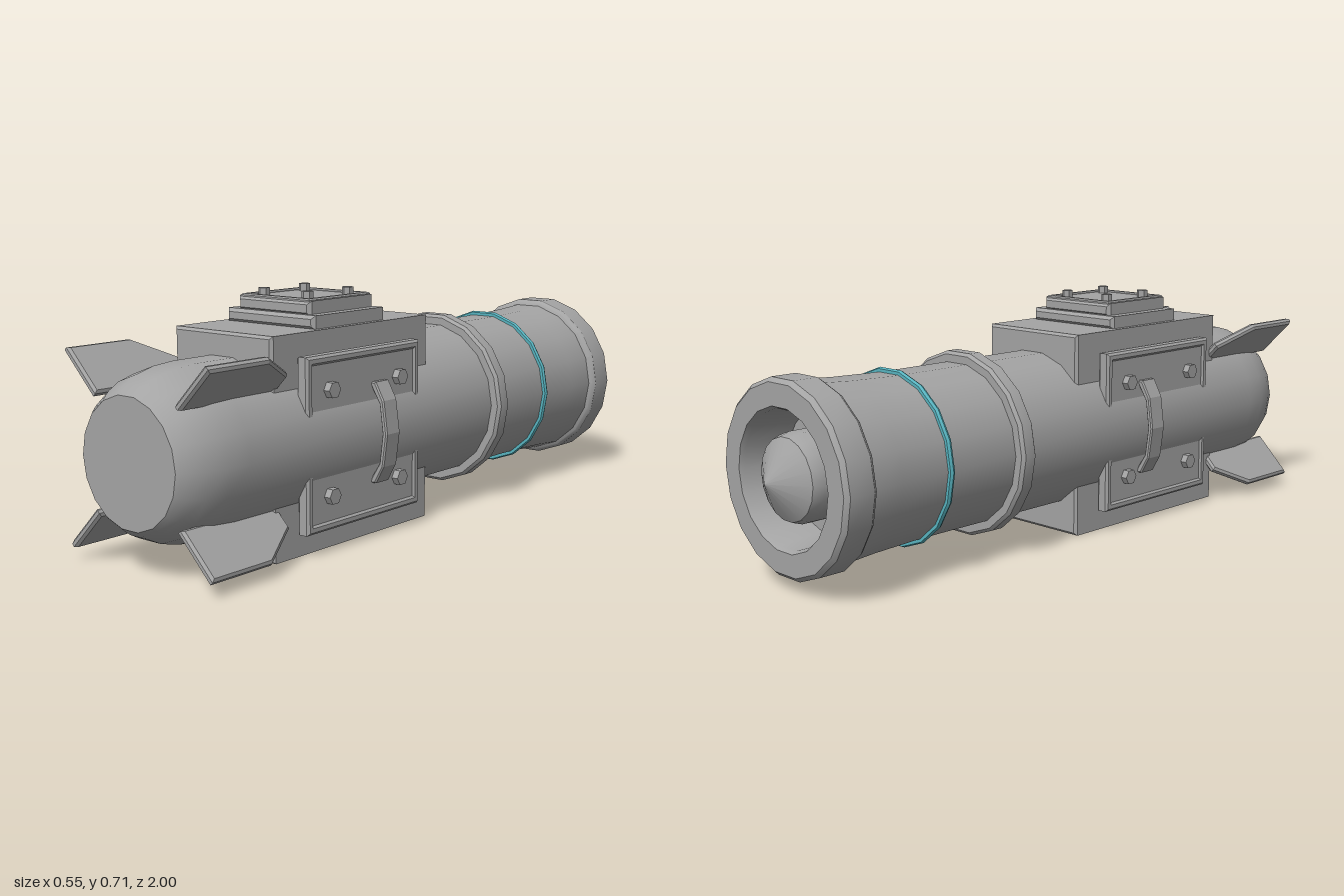
import * as THREE from 'three';
import { toCreasedNormals } from 'three/addons/utils/BufferGeometryUtils.js';

const AXIS = 0.31; // height of the tube's centre line
const gray = new THREE.MeshStandardMaterial({ color: 0xa4a4a4 });
gray.name = 'gunmetal gray';
const teal = new THREE.MeshStandardMaterial({ color: 0x58b4c0 });
teal.name = 'teal';

function add(parent, name, geometry, material = gray) {
  const mesh = new THREE.Mesh(geometry, material);
  mesh.name = name;
  parent.add(mesh);
  return mesh;
}

// Turned part along z, listed as [radius, z] from back to front
function turned(points, sides = 18) {
  const pts = points.map(([r, z]) => new THREE.Vector2(r, z));
  const g = new THREE.LatheGeometry(pts, sides, Math.PI / 2, Math.PI * 2);
  g.rotateX(Math.PI / 2);
  return toCreasedNormals(g, 0.55).translate(0, AXIS, 0);
}

// Chamfered extrusion, centred on z = 0
function slab(shape, thickness, bevel) {
  return new THREE.ExtrudeGeometry(shape, {
    depth: thickness - 2 * bevel, bevelEnabled: true, bevelSegments: 1,
    bevelSize: bevel, bevelThickness: bevel, bevelOffset: -bevel,
  }).translate(0, 0, bevel - thickness / 2);
}

const polygon = (pts) => new THREE.Shape(pts.map(([x, y]) => new THREE.Vector2(x, y)));
const rect = (w, h) => polygon([[-w / 2, -h / 2], [w / 2, -h / 2], [w / 2, h / 2], [-w / 2, h / 2]]);
const chamferBox = (w, h, d, bevel) => slab(rect(w, h), d, bevel);

// Rectangular rim with an open middle
function frame(w, h, rim, thickness, bevel) {
  const shape = rect(w, h);
  shape.holes.push(rect(w - 2 * rim, h - 2 * rim));
  return slab(shape, thickness, bevel);
}

function sideFitting(side) {
  const group = new THREE.Group();
  group.name = side > 0 ? 'leftFitting' : 'rightFitting';

  // Recessed panel with a raised rim
  add(group, 'sidePanel', new THREE.BoxGeometry(0.05, 0.45, 0.45))
    .position.set(side * 0.197, AXIS, 0.327);
  const rim = add(group, 'panelRim', frame(0.488, 0.49, 0.026, 0.04, 0.007));
  rim.position.set(side * 0.208, AXIS, 0.327);
  rim.rotation.y = side * Math.PI / 2;

  // Hex bolts in the four corners
  for (const y of [-0.148, 0.148]) for (const z of [0.18, 0.475]) {
    const g = new THREE.CylinderGeometry(0.024, 0.024, 0.03, 6).toNonIndexed();
    g.computeVertexNormals();
    const bolt = add(group, 'sideBolt', g.rotateZ(Math.PI / 2));
    bolt.position.set(side * 0.228, AXIS + y, z);
  }

  // Bowed grab handle
  const outline = polygon([
    [0.215, -0.146], [0.235, -0.146], [0.264, -0.095], [0.277, 0], [0.264, 0.095], [0.235, 0.146],
    [0.215, 0.146], [0.224, 0.125], [0.249, 0.085], [0.26, 0], [0.249, -0.085], [0.224, -0.125],
  ]);
  const handle = add(group, 'handle', slab(outline, 0.062, 0.004));
  handle.position.set(0, AXIS, 0.265);
  if (side < 0) {
    handle.rotation.y = Math.PI;
  }
  return group;
}

export function createModel() {
  const model = new THREE.Group();
  model.name = 'launcher';

  // Main tube with rounded nose, flared tail, collar and hollow rear
  add(model, 'tube', turned([
    [0, -0.8], [0.175, -0.8], [0.19, -0.93], [0.198, -0.945], [0.262, -0.945], [0.274, -0.933],
    [0.274, -0.855], [0.266, -0.843], [0.256, -0.838], [0.249, -0.74], [0.244, -0.6], [0.243, -0.5],
    [0.243, 0.8], [0.237, 0.87], [0.222, 0.93], [0.202, 0.97], [0.187, 0.99], [0.178, 1], [0, 1],
  ]));

  // Pointed core inside the rear opening
  add(model, 'rearCore', turned([
    [0, -1], [0.115, -0.93], [0.125, -0.9], [0.125, -0.79],
  ]));

  // Raised reinforcing band and thin coloured ring
  add(model, 'band', turned([
    [0.23, -0.323], [0.266, -0.323], [0.275, -0.314], [0.275, -0.277], [0.266, -0.268], [0.23, -0.268],
  ]));
  add(model, 'tealRing', turned([
    [0.235, -0.579], [0.253, -0.579], [0.257, -0.571], [0.253, -0.563], [0.235, -0.563],
  ]), teal);

  // Block housing around the tube
  add(model, 'housing', chamferBox(0.37, 0.617, 0.672, 0.008)).position.set(0, 0.3085, 0.326);

  // Stepped hatch on top with a sunken lid
  add(model, 'hatchBase', chamferBox(0.336, 0.04, 0.31, 0.01)).position.set(0, 0.634, 0.323);
  add(model, 'hatchLid', chamferBox(0.276, 0.043, 0.276, 0.01)).position.set(0, 0.669, 0.323);
  const lidRim = add(model, 'hatchRim', frame(0.262, 0.262, 0.02, 0.02, 0.004));
  lidRim.rotation.x = -Math.PI / 2;
  lidRim.position.set(0, 0.686, 0.323);
  for (const x of [-0.084, 0.084]) for (const z of [0.237, 0.408]) {
    const g = new THREE.CylinderGeometry(0.017, 0.017, 0.03, 6).toNonIndexed();
    g.computeVertexNormals();
    add(model, 'hatchBolt', g).position.set(x, 0.697, z);
  }

  // Panels, bolts and handles on both sides
  model.add(sideFitting(1), sideFitting(-1));

  // Four diagonal fins near the nose, drawn as [z, radius]
  const finShape = polygon([[0.973, 0.222], [0.973, 0.381], [0.76, 0.381], [0.635, 0.3], [0.635, 0.222]]);
  for (let i = 0; i < 4; i++) {
    const fin = new THREE.Group();
    fin.name = 'fin';
    add(fin, 'finBlade', slab(finShape, 0.024, 0.007)).rotation.y = -Math.PI / 2;
    fin.position.y = AXIS;
    fin.rotation.z = Math.PI / 4 + i * Math.PI / 2;
    model.add(fin);
  }
  return model;
}
